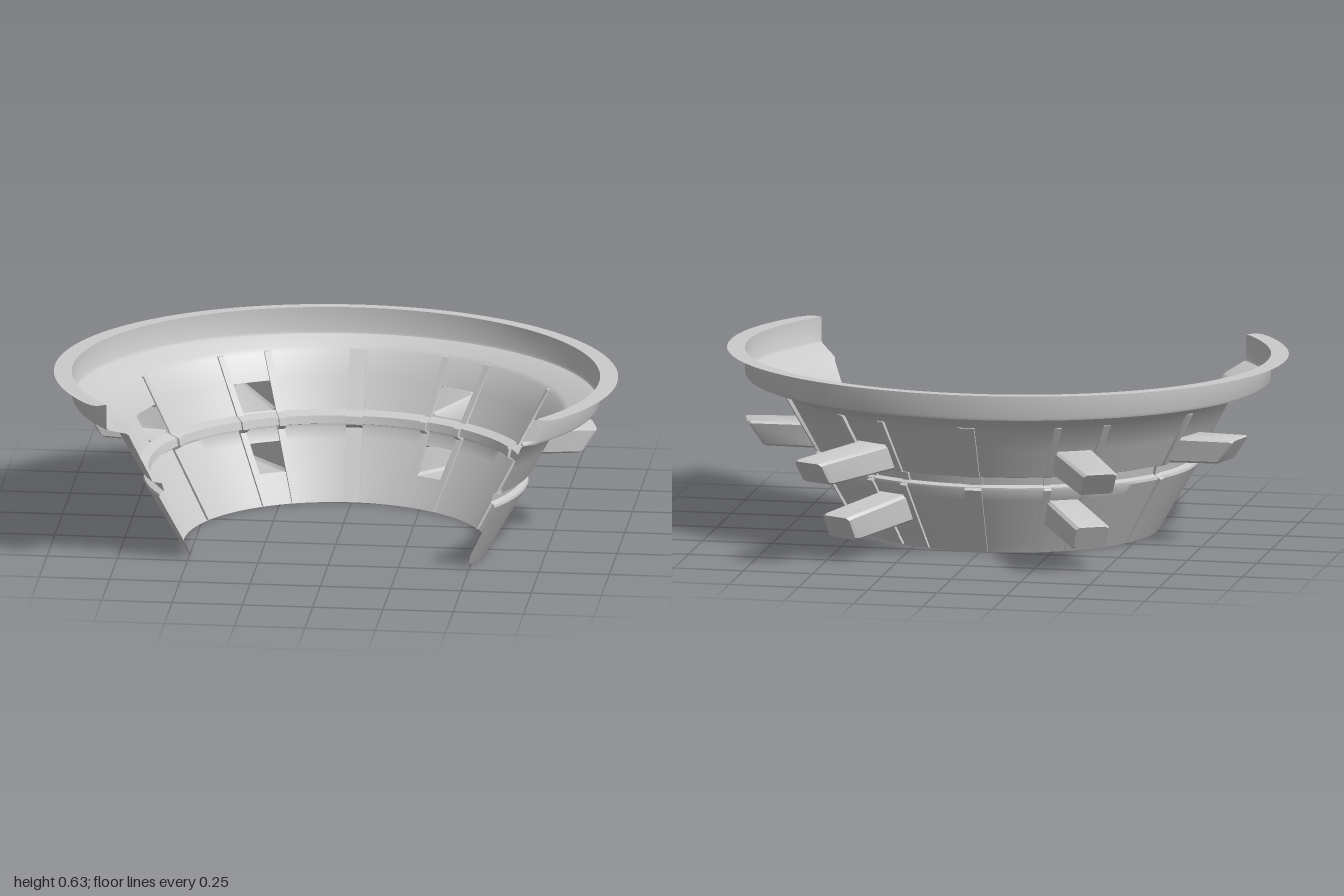
import * as THREE from 'three';
import { toCreasedNormals } from 'three/addons/utils/BufferGeometryUtils.js';

const V = (x, y, z) => new THREE.Vector3(x, y, z);
const RAD = Math.PI / 180;
const CZ = 0.245; // centre of the elliptical rings

// Wall profile, bottom to top: height, x radius, z radius, end angle measured from the back
const PROFILE = [
  [0, 0.54, 0.495, 112], [0.012, 0.547, 0.5, 115], [0.05, 0.569, 0.518, 117.5],
  [0.245, 0.682, 0.608, 119], [0.255, 0.68, 0.608, 119], [0.262, 0.658, 0.588, 118],
  [0.29, 0.664, 0.594, 117.5], [0.3, 0.698, 0.638, 117.5], [0.49, 0.802, 0.732, 119.5],
  [0.503, 0.822, 0.745, 121], [0.535, 0.93, 0.787, 125], [0.545, 0.936, 0.79, 125],
  [0.63, 0.936, 0.79, 125],
];
const FLANGE = [[0.63, 0.936, 0.79, 125], [0.63, 0.98, 0.814, 125.5], [0.63, 0.994, 0.822, 124.5], [0.63, 1, 0.825, 122]];

// Openings: start angle, end angle, low and high edge
const UPPER = { a: 23.5, b: 34.5, y0: 0.305, y1: 0.4 };
const LOWER = { a: 22.5, b: 33.5, y0: 0.105, y1: 0.205 };
const SIDE = { a: 64, b: 76, y0: 0.305, y1: 0.4 };
const WINDOWS = [UPPER, LOWER, SIDE];

function ringAt(y) {
  let i = 1;
  while (i < PROFILE.length - 1 && PROFILE[i][0] < y) i++;
  const p = PROFILE[i - 1], q = PROFILE[i];
  const t = (y - p[0]) / (q[0] - p[0]);
  return p.map((v, k) => v + (q[k] - v) * t);
}

// Point on a ring at an angle from the back, with an optional radial offset
function onRing([y, rx, rz], deg, off = 0) {
  return V((rx + off) * Math.sin(deg * RAD), y, CZ - (rz + off) * Math.cos(deg * RAD));
}

// Surface through rows of points; skip(r, c) leaves a cell open
function surface(rows, { closed = false, caps = false, skip = () => false } = {}) {
  const n = rows[0].length, pos = [], index = [];
  rows.flat().forEach((p) => pos.push(p.x, p.y, p.z));
  for (let r = 0; r < rows.length - 1; r++) {
    for (let c = 0; c < (closed ? n : n - 1); c++) {
      if (skip(r, c)) continue;
      const d = (c + 1) % n, a = r * n, b = a + n;
      index.push(a + c, b + c, a + d, a + d, b + c, b + d);
    }
  }
  if (caps) {
    const e = (rows.length - 1) * n;
    for (let c = 1; c < n - 1; c++) {
      if (caps !== 'end') index.push(0, c, c + 1);
      index.push(e, e + c + 1, e + c);
    }
  }
  const g = new THREE.BufferGeometry();
  g.setAttribute('position', new THREE.Float32BufferAttribute(pos, 3));
  g.setIndex(index);
  return toCreasedNormals(g, 0.6);
}

// Column angles, including every opening edge; the last stretch follows each ring's end
const STOPS = [0, 22.5, 23.5, 33.5, 34.5, 64, 76];
const half = [];
STOPS.slice(0, -1).forEach((s, i) => {
  const n = Math.ceil((STOPS[i + 1] - s) / 3);
  for (let k = 0; k < n; k++) half.push(s + ((STOPS[i + 1] - s) * k) / n);
});
for (let k = 0; k <= 16; k++) half.push(76 + k / 16); // 76..77 marks the free end
const COLS = [...half.slice(1).map((v) => -v).reverse(), ...half];

function ringRow(ring) {
  return COLS.map((c) => {
    const m = Math.abs(c);
    const deg = m <= 76 ? m : 76 + (m - 76) * (ring[3] - 76);
    return onRing(ring, Math.sign(c) * deg);
  });
}

function wallGeometry() {
  const ys = PROFILE.map((p) => p[0]);
  WINDOWS.forEach((w) => ys.push(w.y0, w.y1));
  const levels = [...new Set(ys)].sort((a, b) => a - b);
  const skip = (r, c) => {
    const y = (levels[r] + levels[r + 1]) / 2;
    const t = Math.abs((COLS[c] + COLS[c + 1]) / 2);
    return WINDOWS.some((w) => y > w.y0 && y < w.y1 && t > w.a && t < w.b);
  };
  return surface(levels.map((y) => ringRow(ringAt(y))), { skip });
}

// Narrow rib following the wall from the foot to below the rim
function ribGeometry(deg, width, lean = 0) {
  const ys = [0.004, 0.05, 0.245, 0.262, 0.29, 0.3, 0.495];
  const rows = ys.map((y) => {
    const ring = ringAt(y), h = width / 2 / ring[1] / RAD, d = deg + lean * (y - 0.25);
    return [[-h, -0.01], [h, -0.01], [h, 0.01], [-h, 0.01]].map(([a, o]) => onRing(ring, d + a, o));
  });
  return surface(rows, { closed: true, caps: true });
}

// Hollow arm lofted from an opening in the wall to a slanted, closed tip
function armGeometry(w, { x, z, dir, halfWidth, y0, y1, slant }) {
  const base = [[w.a, w.y0], [w.b, w.y0], [w.b, w.y1], [w.a, w.y1]].map(([d, y]) => onRing(ringAt(y), d));
  const out = V(Math.sin(dir * RAD), 0, -Math.cos(dir * RAD));
  const across = V(Math.cos(dir * RAD), 0, Math.sin(dir * RAD));
  const tipPoint = (s, y, back) => V(x, y, z).addScaledVector(across, s * halfWidth).addScaledVector(out, -back);
  const tip = [tipPoint(-1, y0, slant), tipPoint(1, y0, slant), tipPoint(1, y1, 0), tipPoint(-1, y1, 0)];
  const section = (t, e, push = 0) => {
    const k = base.map((p, i) => p.clone().lerp(tip[i], t));
    const at = (u, v) => k[0].clone().lerp(k[1], u).lerp(k[3].clone().lerp(k[2], u), v).addScaledVector(out, push);
    const i = e, j = e + 0.09, f = 1 - e, g = 1 - j;
    return [[j, i], [g, i], [f, j], [f, g], [g, f], [j, f], [i, g], [i, j]].map(([u, v]) => at(u, v));
  };
  return surface([section(0, 0), section(0.95, 0), section(1, 0.04)], { closed: true, caps: 'end' });
}

export function createModel() {
  const model = new THREE.Group();
  model.name = 'openCollar';
  const material = new THREE.MeshStandardMaterial({ color: 0xcccccc, side: THREE.DoubleSide });
  const add = (name, geometry) => {
    const mesh = new THREE.Mesh(geometry, material);
    mesh.name = name;
    model.add(mesh);
  };
  const addPair = (name, geometry) => {
    add(`${name}Left`, geometry);
    // Mirror across x and reverse the faces
    const g = geometry.clone().scale(-1, 1, 1);
    for (const attr of Object.values(g.attributes)) {
      for (let i = 0; i < attr.count; i += 3) {
        const p = [attr.getX(i), attr.getY(i), attr.getZ(i)];
        attr.setXYZ(i, attr.getX(i + 1), attr.getY(i + 1), attr.getZ(i + 1));
        attr.setXYZ(i + 1, ...p);
      }
    }
    add(`${name}Right`, g);
  };

  // Shell and rim
  add('wall', wallGeometry());
  add('flange', surface(FLANGE.map(ringRow)));

  // Ribs
  add('backRib', ribGeometry(0, 0.06));
  addPair('innerRib', ribGeometry(22.3, 0.025, 4));
  addPair('outerRib', ribGeometry(34.8, 0.025, 6));
  addPair('sideRib', ribGeometry(62.8, 0.022, 2));

  // Arms
  addPair('upperArm', armGeometry(UPPER, { x: 0.53, z: -0.705, dir: 26, halfWidth: 0.064, y0: 0.305, y1: 0.392, slant: 0.06 }));
  addPair('lowerArm', armGeometry(LOWER, { x: 0.465, z: -0.525, dir: 27, halfWidth: 0.064, y0: 0.075, y1: 0.165, slant: 0.045 }));
  addPair('sideArm', armGeometry(SIDE, { x: 0.895, z: -0.005, dir: 74, halfWidth: 0.062, y0: 0.31, y1: 0.4, slant: 0.06 }));
  return model;
}
